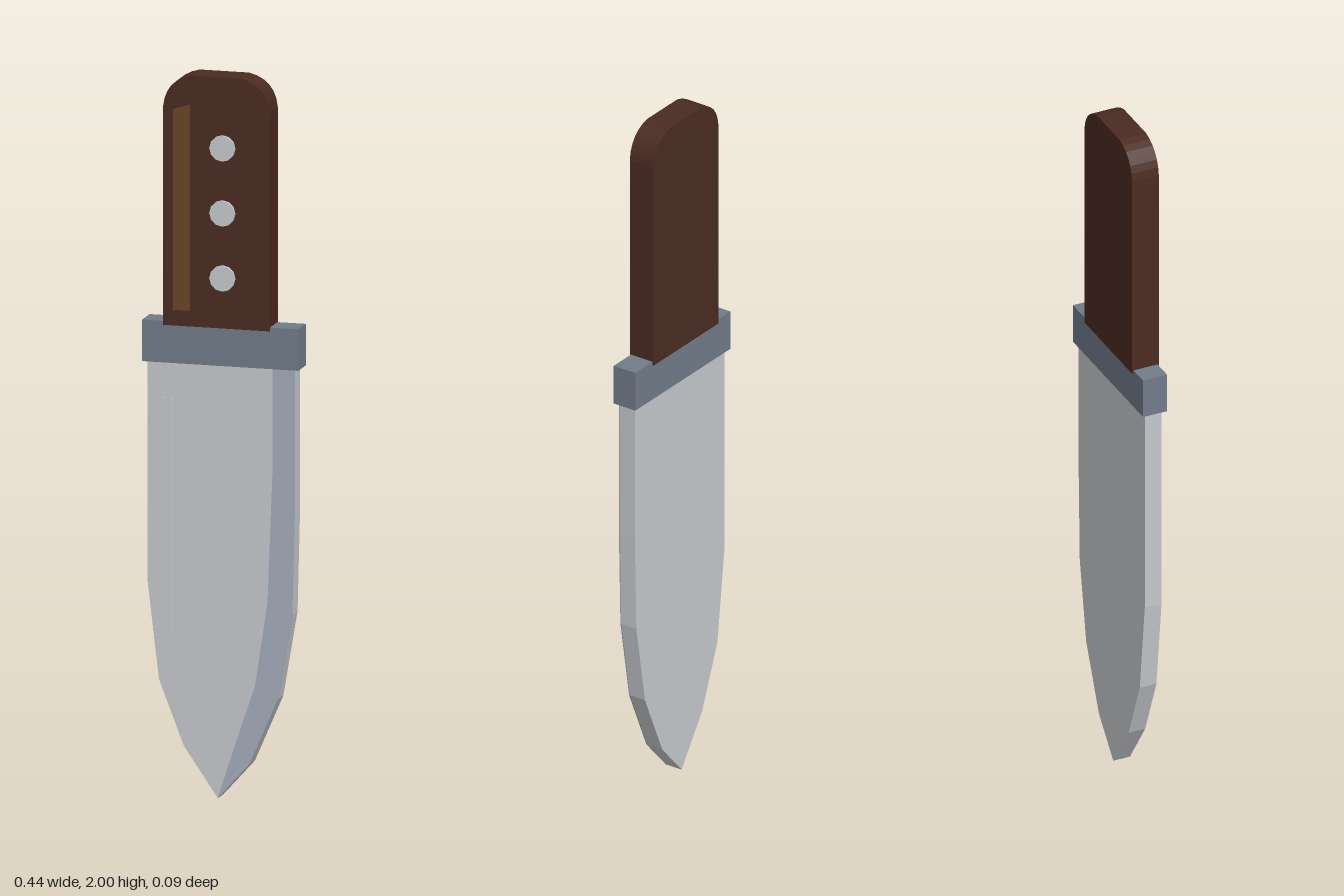
import * as THREE from 'three';

const paint = (name, color) => {
  const m = new THREE.MeshStandardMaterial({ color });
  m.name = name;
  return m;
};

export function createModel() {
  const knife = new THREE.Group();
  knife.name = 'knife';
  const steel = paint('steel', 0xc6c9cd);
  const edgeSteel = paint('edge steel', 0xa5aebc);
  const darkSteel = paint('dark steel', 0x717b89);
  const wood = paint('wood', 0x4a2b21);
  const lightWood = paint('light wood', 0x6b4529);
  const rivetSteel = paint('rivet steel', 0xc8ccd0);

  const add = (name, geometry, material) => {
    const mesh = new THREE.Mesh(geometry, material);
    mesh.name = name;
    knife.add(mesh);
    return mesh;
  };
  // Extrudes an outline in x, y between two z values
  const slab = (name, shape, z0, z1, material) => {
    const geo = new THREE.ExtrudeGeometry(shape, { depth: z1 - z0, bevelEnabled: false, curveSegments: 6 });
    return add(name, geo.translate(0, 0, z0), material);
  };
  const outline = (points) => new THREE.Shape(points.map(([x, y]) => new THREE.Vector2(x, y)));

  // Blade: spine on the -x side, cutting edge on the +x side
  const tip = [-0.01, 0];
  const spine = [[-0.208, 1.22], [-0.208, 0.59], [-0.176, 0.32], [-0.106, 0.14]];
  const edge = [[0.08, 0.1], [0.16, 0.285], [0.2, 0.52], [0.207, 0.8], [0.207, 1.22]];
  const inner = [[0.145, 1.22], [0.145, 0.92], [0.131, 0.555], [0.096, 0.32], [0.037, 0.145]];
  slab('blade', outline([...spine, tip, ...edge]), -0.0315, 0.0185, steel);
  slab('cuttingEdge', outline([tip, ...edge, ...inner]), 0.0185, 0.0215, edgeSteel);
  slab('bladeGroove', outline([[-0.162, 0.445], [-0.13, 0.445], [-0.13, 1.1], [-0.162, 1.1]]),
    0.0185, 0.0215, steel);

  // Guard
  const guard = add('guard', new THREE.BoxGeometry(0.44, 0.115, 0.072), darkSteel);
  guard.position.set(0, 1.2575, -0.0065);

  // Handle with rounded upper corners
  const grip = new THREE.Shape();
  grip.moveTo(-0.16, 1.305);
  grip.lineTo(0.14, 1.305);
  grip.lineTo(0.14, 1.91);
  grip.quadraticCurveTo(0.133, 1.985, 0.06, 2);
  grip.lineTo(-0.08, 2);
  grip.quadraticCurveTo(-0.153, 1.985, -0.16, 1.91);
  slab('handle', grip, -0.0465, 0.0335, wood);
  slab('handleHighlight', outline([[-0.13, 1.35], [-0.083, 1.35], [-0.083, 1.92], [-0.13, 1.905]]),
    0.0365, 0.0415, lightWood);

  // Rivets
  for (const y of [1.445, 1.625, 1.805]) {
    const rivet = add('rivet', new THREE.CylinderGeometry(0.036, 0.036, 0.008, 12), rivetSteel);
    rivet.rotation.x = Math.PI / 2;
    rivet.position.set(0.009, y, 0.04);
  }
  return knife;
}
